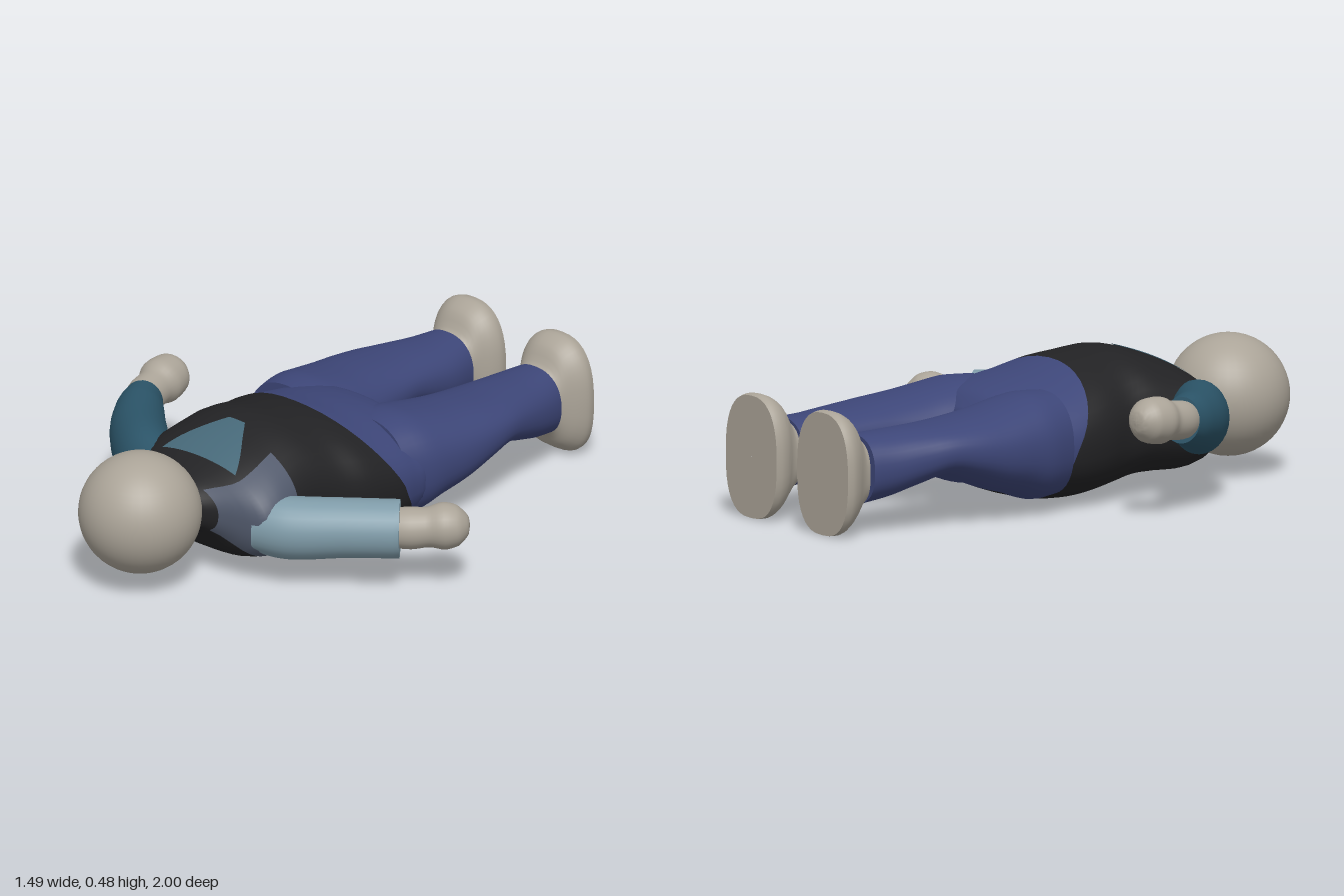
import * as THREE from 'three';
import { toCreasedNormals } from 'three/addons/utils/BufferGeometryUtils.js';

const SKIN = 0xaba498, DENIM = 0x3d4678, BLACK = 0x222224, TEAL = 0x2b5468, PALE = 0x7f9ba8, SLATE = 0x50586a;
const TAU = Math.PI * 2;

function addMesh(parent, name, geometry, color, side = THREE.FrontSide) {
  const mesh = new THREE.Mesh(geometry, new THREE.MeshStandardMaterial({ color, side }));
  mesh.name = name;
  parent.add(mesh);
  return mesh;
}

// Skin over a grid of points; f(u, v) returns [x, y, z], v runs round the section
function grid(rows, cols, closed, f) {
  const pos = [], index = [], n = closed ? cols : cols + 1;
  for (let i = 0; i <= rows; i++)
    for (let j = 0; j < n; j++) pos.push(...f(i, j / cols));
  for (let i = 0; i < rows; i++)
    for (let j = 0; j < cols; j++) {
      const k = (j + 1) % n, a = i * n + j, b = i * n + k, c = a + n, d = b + n;
      index.push(a, b, c, b, d, c);
    }
  const geo = new THREE.BufferGeometry();
  geo.setAttribute('position', new THREE.Float32BufferAttribute(pos, 3));
  geo.setIndex(index);
  geo.computeVertexNormals();
  return geo;
}

// Surface point from stations [z, xMin, xMax, yMin, yMax], with a flatter underside
function surface(stations, top = 2.1, bottom = 2.6) {
  const spline = new THREE.CubicInterpolant(stations.map(s => s[0]), stations.flatMap(s => s.slice(1)), 4);
  return (z, angle, scale = 1) => {
    const [x0, x1, y0, y1] = spline.evaluate(z);
    const c = Math.cos(angle), s = Math.sin(angle), p = 2 / (s > 0 ? top : bottom);
    const bend = v => Math.sign(v) * Math.abs(v) ** p * scale / 2;
    return [(x0 + x1) / 2 + (x1 - x0) * bend(c), (y0 + y1) / 2 + (y1 - y0) * bend(s), z];
  };
}

// Closed solid between two z limits, which may vary with the angle
function solid(f, from, to, rows = 30, cols = 40) {
  const geo = grid(rows + 2, cols, true, (i, v) => {
    const a = v * TAU, t = THREE.MathUtils.clamp((i - 1) / rows, 0, 1);
    const z = from(a) + (to(a) - from(a)) * t;
    return f(z, a, i === 0 || i === rows + 2 ? 0.001 : 1);
  });
  return toCreasedNormals(geo, 0.9);
}

// Round limb swept along points [x, y, z, width radius, height radius]
function limb(points, rows = 28, cols = 28) {
  const curve = new THREE.CatmullRomCurve3(points.map(p => new THREE.Vector3(p[0], p[1], p[2])));
  const radii = new THREE.CatmullRomCurve3(points.map(p => new THREE.Vector3(p[3], p[4], 0)));
  const geo = grid(rows + 2, cols, true, (i, v) => {
    const t = THREE.MathUtils.clamp((i - 1) / rows, 0, 1), a = v * TAU;
    const k = i === 0 || i === rows + 2 ? 0.001 : 1;
    const dir = curve.getTangent(t), r = radii.getPoint(t);
    const across = new THREE.Vector3(0, 1, 0).cross(dir).normalize();
    const up = dir.clone().cross(across);
    return curve.getPoint(t).addScaledVector(across, Math.cos(a) * r.x * k)
      .addScaledVector(up, Math.sin(a) * r.y * k).toArray();
  });
  return toCreasedNormals(geo, 0.9);
}

export function createModel() {
  const model = new THREE.Group();
  model.name = 'lyingFigure';

  // Trunk, split into vest and trousers along a slanting waistline
  const trunk = surface([
    [-0.29, -0.16, 0.06, 0.17, 0.32], [-0.24, -0.33, 0.23, 0.10, 0.375],
    [-0.18, -0.40, 0.32, 0.05, 0.40], [-0.1, -0.405, 0.335, 0.02, 0.42],
    [0, -0.405, 0.33, 0.01, 0.44], [0.1, -0.39, 0.315, 0.015, 0.465],
    [0.2, -0.36, 0.28, 0.03, 0.48], [0.3, -0.36, 0.265, 0.055, 0.488],
    [0.4, -0.37, 0.27, 0.06, 0.465], [0.5, -0.385, 0.28, 0.065, 0.425],
    [0.56, -0.36, 0.25, 0.10, 0.39], [0.61, -0.25, 0.13, 0.17, 0.355],
    [0.66, -0.19, 0.04, 0.20, 0.33]]);
  const waist = a => -0.05 + 0.14 * Math.sin(a);
  addMesh(model, 'vest', solid(trunk, waist, () => 0.66), BLACK);
  addMesh(model, 'trouserSeat', solid(trunk, () => -0.29, waist), DENIM);

  // Coloured panels lying on the chest and the left shoulder
  addMesh(model, 'chestPanel', grid(10, 12, false, (i, v) => {
    const t = i / 10, half = 0.1 + 0.42 * t;
    return trunk(0.36 + 0.18 * t, Math.PI / 2 + (v * 2 - 1) * half, 1.012);
  }), 0x466878, THREE.DoubleSide);
  addMesh(model, 'shoulderPanel', grid(12, 20, false, (i, v) =>
    trunk(0.40 + 0.22 * i / 12, -0.8 + 1.75 * v, 1.015)), SLATE, THREE.DoubleSide);

  // Legs and feet, the right ones mirrored about the body's middle
  const leg = [
    [-0.87, 0.03, 0.27, 0.10, 0.335], [-0.78, 0.015, 0.29, 0.115, 0.335],
    [-0.68, 0.012, 0.312, 0.145, 0.34], [-0.58, 0.008, 0.335, 0.172, 0.345],
    [-0.48, -0.005, 0.35, 0.145, 0.355], [-0.36, -0.03, 0.355, 0.10, 0.37],
    [-0.26, -0.05, 0.35, 0.072, 0.388], [-0.18, -0.055, 0.342, 0.045, 0.402],
    [-0.08, -0.04, 0.31, 0.05, 0.40]];
  const foot = [
    [-1, 0.005, 0.295, 0.005, 0.42], [-0.975, 0, 0.30, 0.005, 0.425],
    [-0.94, 0.012, 0.285, 0.025, 0.412], [-0.91, 0.035, 0.262, 0.05, 0.385],
    [-0.885, 0.045, 0.248, 0.085, 0.335], [-0.84, 0.05, 0.24, 0.12, 0.315]];
  const mirror = list => list.map(([z, x0, x1, y0, y1]) => [z, -0.106 - x1, -0.106 - x0, y0, y1]);
  for (const [side, flip] of [['left', s => s], ['right', mirror]]) {
    addMesh(model, side + 'TrouserLeg', solid(surface(flip(leg), 2.3, 2.3), () => -0.87, () => -0.08), DENIM);
    addMesh(model, side + 'Foot', solid(surface(flip(foot), 2.5, 2.7), () => -1, () => -0.84, 16), SKIN);
  }

  // Sleeves
  addMesh(model, 'leftSleeve', limb([
    [0.18, 0.22, 0.50, 0.09, 0.10], [0.28, 0.215, 0.445, 0.10, 0.108],
    [0.42, 0.222, 0.335, 0.098, 0.102], [0.56, 0.222, 0.212, 0.096, 0.1]]), PALE);
  addMesh(model, 'rightSleeve', limb([
    [-0.27, 0.25, 0.51, 0.09, 0.12], [-0.37, 0.27, 0.465, 0.10, 0.125],
    [-0.50, 0.292, 0.365, 0.097, 0.108], [-0.585, 0.312, 0.27, 0.083, 0.092],
    [-0.625, 0.322, 0.21, 0.066, 0.078]]), TEAL);

  // Hands: a narrow wrist swelling into a rounded fist
  addMesh(model, 'leftHand', limb([
    [0.53, 0.225, 0.235, 0.06, 0.065], [0.585, 0.225, 0.188, 0.07, 0.072],
    [0.625, 0.228, 0.15, 0.065, 0.068], [0.665, 0.232, 0.11, 0.078, 0.08],
    [0.695, 0.232, 0.077, 0.07, 0.07], [0.72, 0.232, 0.048, 0.03, 0.03],
    [0.723, 0.232, 0.045, 0.005, 0.005]]), SKIN);
  addMesh(model, 'rightHand', limb([
    [-0.615, 0.32, 0.24, 0.055, 0.06], [-0.64, 0.327, 0.185, 0.065, 0.066],
    [-0.652, 0.333, 0.135, 0.064, 0.066], [-0.663, 0.34, 0.085, 0.08, 0.08],
    [-0.672, 0.345, 0.03, 0.074, 0.074], [-0.68, 0.347, -0.012, 0.035, 0.035],
    [-0.681, 0.347, -0.018, 0.005, 0.005]]), SKIN);

  // Head
  const head = addMesh(model, 'head', new THREE.SphereGeometry(0.207, 40, 28), SKIN);
  head.position.set(-0.083, 0.273, 0.793);

  return model;
}
